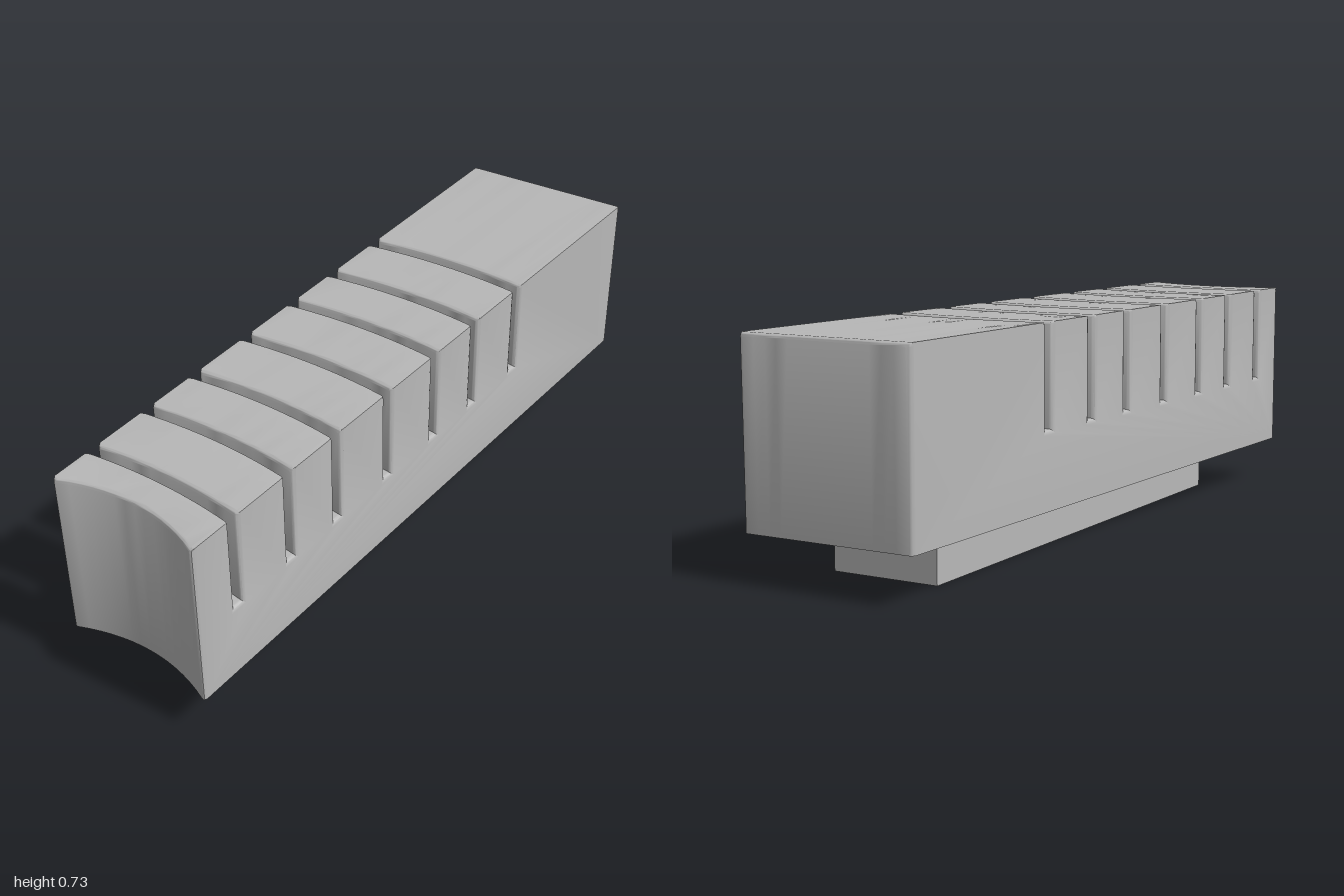
import * as THREE from 'three';
import { toCreasedNormals } from 'three/addons/utils/BufferGeometryUtils.js';

const LENGTH = 2.25, BOTTOM = 0.15, TOP = 0.725, FLOOR = 0.4;
const GAP = 0.017, FILLET = 0.014; // half slot width, edge rounding
const SLOTS = [0.075, 0.18, 0.277, 0.388, 0.497, 0.594, 0.702].map((s) => s * LENGTH);
const EDGE = 0.026, EDGE_STEPS = 4, MID_STEPS = 14, STEPS = EDGE_STEPS * 2 + MID_STEPS;

// Plan corners of the block as [x, z]
const A = [-0.975, 0.655], B = [-0.595, 1.008], C = [0.975, -0.66], D = [0.518, -1.006];
const mix = THREE.MathUtils.lerp;

// Long side profile with rounded slot mouths and rounded top ends
function blockProfile() {
  const p = new THREE.Shape();
  const f = FILLET;
  p.moveTo(0, BOTTOM);
  p.lineTo(LENGTH, BOTTOM);
  p.lineTo(LENGTH, TOP - f);
  p.absarc(LENGTH - f, TOP - f, f, 0, Math.PI / 2, false);
  for (const c of [...SLOTS].reverse()) {
    p.lineTo(c + GAP + f, TOP);
    p.absarc(c + GAP + f, TOP - f, f, Math.PI / 2, Math.PI, false);
    p.lineTo(c + GAP, FLOOR);
    p.lineTo(c - GAP, FLOOR);
    p.lineTo(c - GAP, TOP - f);
    p.absarc(c - GAP - f, TOP - f, f, 0, Math.PI / 2, false);
  }
  p.lineTo(f, TOP);
  p.absarc(f, TOP - f, f, Math.PI / 2, Math.PI, false);
  p.closePath();
  return p;
}

// Step number to position across the width, finer near both sides
function across(k) {
  if (k <= EDGE_STEPS) return EDGE * k / EDGE_STEPS;
  if (k >= STEPS - EDGE_STEPS) return 1 - EDGE * (STEPS - k) / EDGE_STEPS;
  return mix(EDGE, 1 - EDGE, (k - EDGE_STEPS) / MID_STEPS);
}

function blockGeometry() {
  const geo = new THREE.ExtrudeGeometry(blockProfile(), {
    depth: STEPS, steps: STEPS, curveSegments: 5, bevelEnabled: false,
  });
  const pos = geo.attributes.position;
  for (let i = 0; i < pos.count; i++) {
    let x = pos.getX(i), y = pos.getY(i);
    const t = across(Math.round(pos.getZ(i)));
    // Quarter-round cut back at the upright edges
    const d = Math.max(0, 1 - Math.min(t, 1 - t) / EDGE);
    const cut = FILLET * (1 - Math.sqrt(Math.max(0, 1 - d * d)));
    const bow = 4 * t * (1 - t) * (x < 0.03 ? 0.06 : x > LENGTH - 0.03 ? 0 : 0.02);
    const slot = SLOTS.find((c) => Math.abs(x - c) < GAP + FILLET + 0.001);
    if (slot !== undefined && y > BOTTOM + 0.01) {
      const away = Math.abs(x - slot);
      x += Math.sign(x - slot) * cut * (1 - (away - GAP) / FILLET);
      if (y < FLOOR + 0.001) y -= cut;
    } else if (x < FILLET + 0.001) {
      x += cut * (1 - x / FILLET);
    } else if (x > LENGTH - FILLET - 0.001) {
      x -= cut * (1 - (LENGTH - x) / FILLET);
    }
    const s = (x + bow) / LENGTH;
    pos.setXYZ(i,
      mix(mix(A[0], D[0], s), mix(B[0], C[0], s), t),
      y,
      mix(mix(A[1], D[1], s), mix(B[1], C[1], s), t));
  }
  return toCreasedNormals(geo, 0.6);
}

// Narrower tapered foot under the block
function footGeometry() {
  const corners = [[-0.65, 0.53], [-0.46, 0.70], [0.72, -0.545], [0.435, -0.76]];
  const shape = new THREE.Shape(corners.map(([x, z]) => new THREE.Vector2(x, -z)));
  const geo = new THREE.ExtrudeGeometry(shape, { depth: BOTTOM + 0.01, bevelEnabled: false });
  return geo.rotateX(-Math.PI / 2);
}

export function createModel() {
  const group = new THREE.Group();
  group.name = 'slottedBlock';
  const grey = new THREE.MeshStandardMaterial({ color: 0xb8b8b8 });
  grey.name = 'grey';
  const block = new THREE.Mesh(blockGeometry(), grey);
  block.name = 'block';
  const foot = new THREE.Mesh(footGeometry(), grey);
  foot.name = 'foot';
  group.add(block, foot);
  return group;
}
